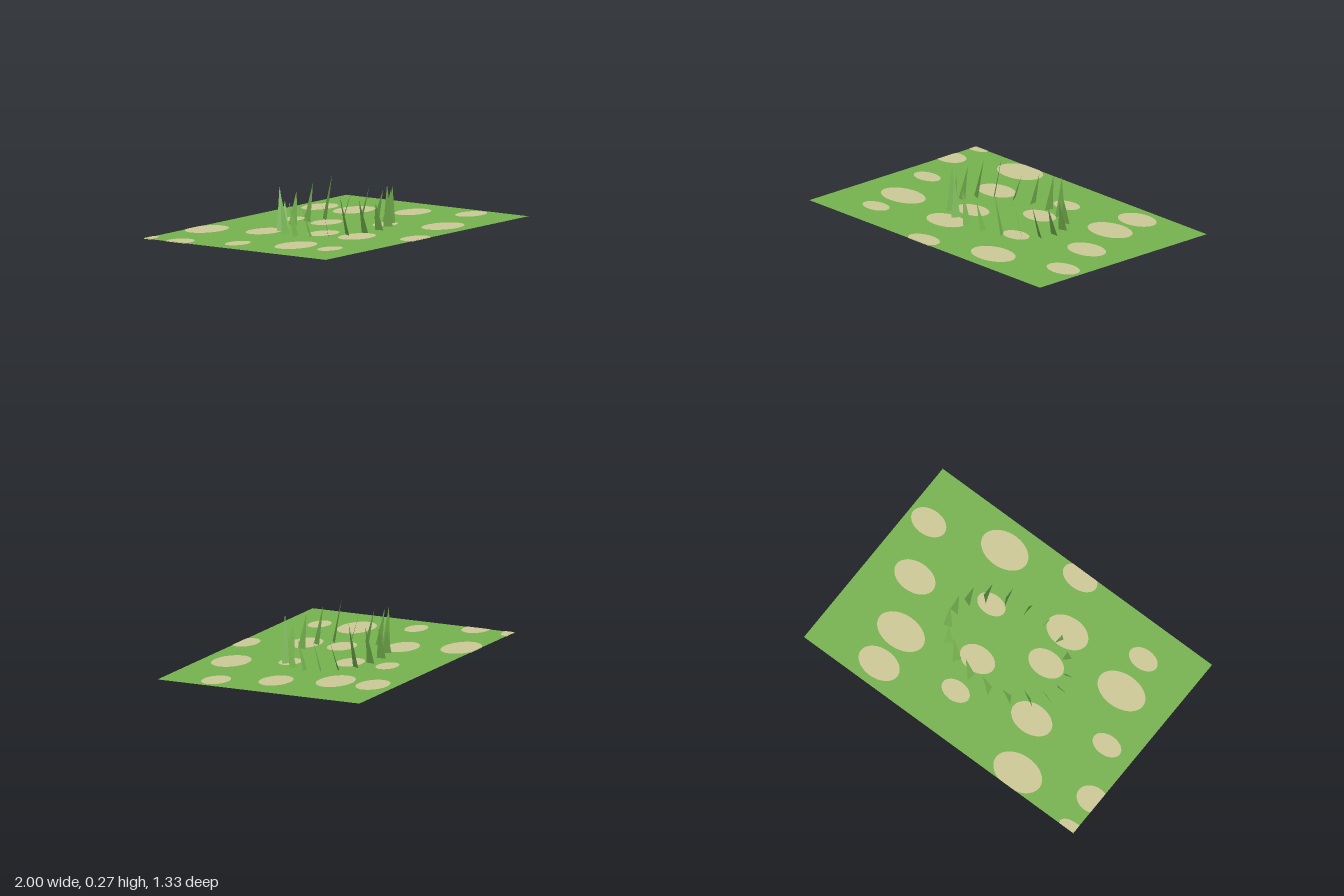
import * as THREE from 'three';

const HALF_X = 1, HALF_Z = 0.665;

// Sandy patches: x, z, x radius, z radius
const PATCHES = [
  [-0.51, -0.565, 0.16, 0.11], [-0.96, -0.43, 0.1, 0.08], [-0.98, -0.65, 0.09, 0.045],
  [-0.82, -0.11, 0.095, 0.063], [-0.37, -0.25, 0.135, 0.093], [0.09, -0.385, 0.093, 0.063],
  [0.55, -0.525, 0.135, 0.093], [0.57, -0.29, 0.158, 0.105], [0.11, -0.15, 0.115, 0.08],
  [0.715, 0.03, 0.135, 0.093], [-0.225, 0.075, 0.117, 0.08], [0.255, 0.17, 0.093, 0.063],
  [-0.68, 0.21, 0.158, 0.105], [-0.205, 0.305, 0.137, 0.095], [-0.66, 0.445, 0.095, 0.063],
  [0.4, 0.485, 0.155, 0.108], [0.86, 0.35, 0.115, 0.08], [-0.055, 0.62, 0.115, 0.073],
];

// Blade heights around the ring, one every 20 degrees
const HEIGHTS = [0.18, 0.195, 0.235, 0.26, 0.17, 0.2, 0.235, 0.26, 0.17,
  0.2, 0.225, 0.265, 0.155, 0.197, 0.225, 0.265, 0.165, 0.19];

// Flat ellipse trimmed to the edges of the ground
function patchGeometry([x, z, rx, rz]) {
  const points = [];
  for (let i = 0; i < 48; i++) {
    const a = (i / 48) * Math.PI * 2;
    points.push(new THREE.Vector2(
      THREE.MathUtils.clamp(x + rx * Math.cos(a), -HALF_X, HALF_X),
      THREE.MathUtils.clamp(-z + rz * Math.sin(a), -HALF_Z, HALF_Z)));
  }
  return new THREE.ShapeGeometry(new THREE.Shape(points)).rotateX(-Math.PI / 2);
}

// Single triangle with a radial base, its tip leaning along the ring
function bladeGeometry(height) {
  const geometry = new THREE.BufferGeometry();
  geometry.setAttribute('position', new THREE.Float32BufferAttribute(
    [0.028, 0, 0, -0.028, 0, 0, 0, height, 0.048], 3));
  geometry.setIndex([0, 2, 1]);
  geometry.computeVertexNormals();
  return geometry;
}

export function createModel() {
  const model = new THREE.Group();
  model.name = 'grassField';
  const grass = new THREE.MeshStandardMaterial({ color: 0x76b24f, side: THREE.DoubleSide });
  grass.name = 'grass green';
  const sand = new THREE.MeshStandardMaterial({ color: 0xccc896, side: THREE.DoubleSide });
  sand.name = 'sand';

  const add = (name, geometry, material, parent = model) => {
    const mesh = new THREE.Mesh(geometry, material);
    mesh.name = name;
    parent.add(mesh);
    return mesh;
  };

  // Ground sheet
  const ground = new THREE.PlaneGeometry(HALF_X * 2, HALF_Z * 2).rotateX(-Math.PI / 2);
  add('ground', ground, grass).position.y = 0.002;

  // Patches show on both faces of the sheet
  const patches = new THREE.Group();
  patches.name = 'sandPatches';
  model.add(patches);
  for (const patch of PATCHES) {
    const geometry = patchGeometry(patch);
    add('patchTop', geometry, sand, patches).position.y = 0.004;
    add('patchUnderside', geometry, sand, patches);
  }

  // Oval ring of grass blades
  const blades = new THREE.Group();
  blades.name = 'grassBlades';
  model.add(blades);
  HEIGHTS.forEach((height, i) => {
    const a = (i / HEIGHTS.length) * Math.PI * 2;
    const blade = add('grassBlade', bladeGeometry(height), grass, blades);
    blade.position.set(0.4 * Math.cos(a), 0.002, 0.267 * Math.sin(a));
    blade.rotation.y = -a;
  });

  return model;
}
